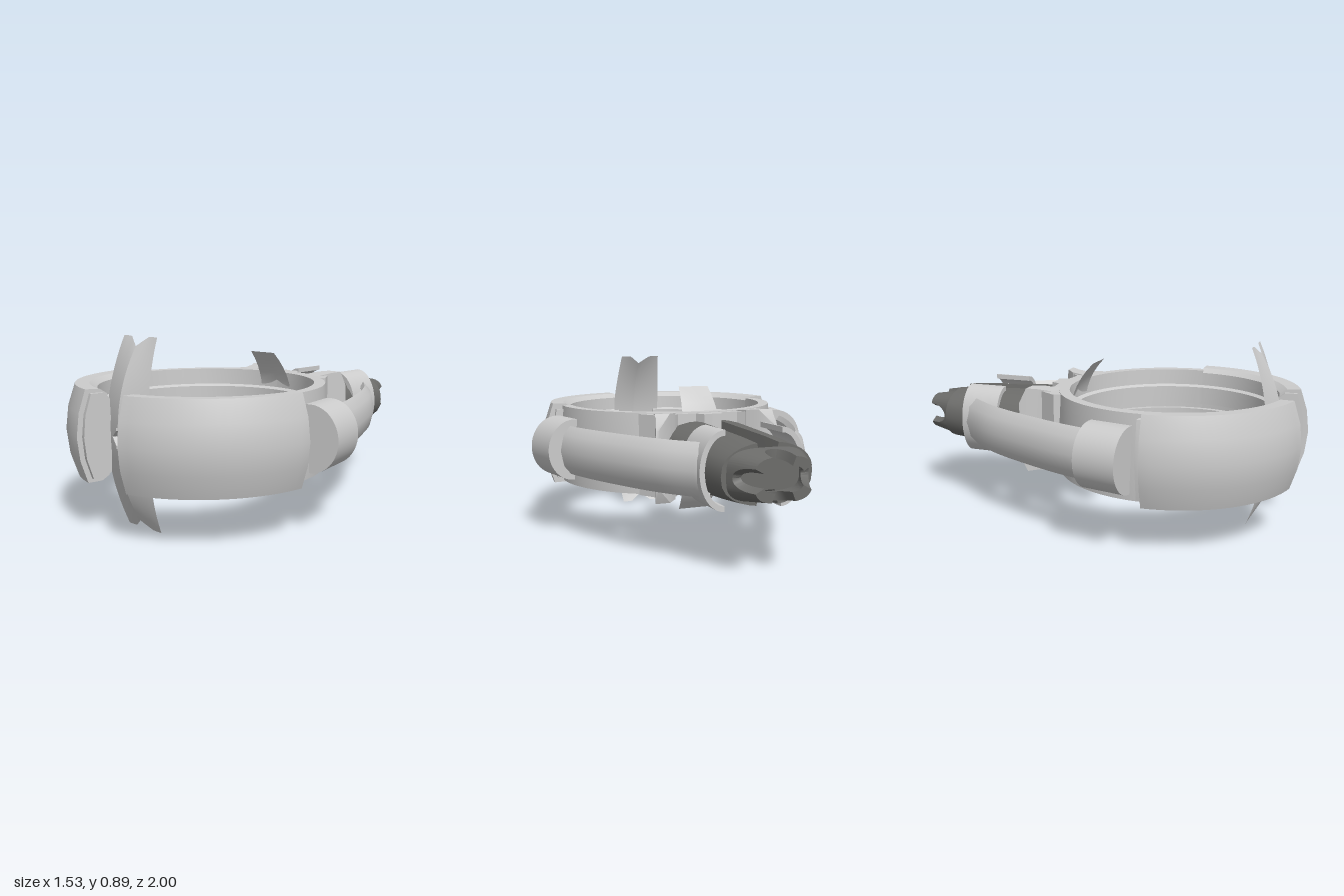
import * as THREE from 'three';
import { toCreasedNormals } from 'three/addons/utils/BufferGeometryUtils.js';

const MID = 0.445;   // mid height of the model
const RING_Z = 0.34; // centre of the ring

const lightMetal = new THREE.MeshStandardMaterial({ color: 0xcccccc, side: THREE.DoubleSide });
lightMetal.name = 'light grey metal';
const darkMetal = new THREE.MeshStandardMaterial({ color: 0x6c6c6a, side: THREE.DoubleSide });
darkMetal.name = 'dark grey grip';

function part(name, geometry, material = lightMetal, crease = 0.5) {
  const mesh = new THREE.Mesh(toCreasedNormals(geometry, crease), material);
  mesh.name = name;
  return mesh;
}

// Surface through a list of equally long point rows; optionally closed and capped
function loft(rows, closed = false, capped = false) {
  const n = rows[0].length, pos = rows.flat(2), idx = [];
  const cols = closed ? n : n - 1;
  for (let i = 0; i < rows.length - 1; i++) {
    for (let j = 0; j < cols; j++) {
      const a = i * n + j, b = i * n + (j + 1) % n, c = a + n, d = b + n;
      idx.push(a, b, d, a, d, c);
    }
  }
  if (capped) {
    [0, rows.length - 1].forEach((r) => {
      const outline = rows[r].map((p) => new THREE.Vector2(p[0], p[1]));
      THREE.ShapeUtils.triangulateShape(outline, []).forEach((t) => {
        const f = t.map((k) => k + r * n);
        idx.push(...(r ? f : f.reverse()));
      });
    });
  }
  const g = new THREE.BufferGeometry();
  g.setAttribute('position', new THREE.Float32BufferAttribute(pos, 3));
  g.setIndex(idx);
  return g;
}

// Closed (radius, height) profile swept round the ring between two angles, with end caps
function ringArc(name, half, from, to, segments) {
  const pts = [...half.map(([r, y]) => [r, -y]), ...half.slice().reverse()]
    .map(([r, y]) => new THREE.Vector2(r, y));
  const group = new THREE.Group();
  group.name = name;
  group.add(part(name + 'Body', new THREE.LatheGeometry([...pts, pts[0]], segments, from, to - from)));
  [from, to].forEach((angle) => {
    const cap = part(name + 'End', new THREE.ShapeGeometry(new THREE.Shape(pts)));
    cap.rotation.y = angle - Math.PI / 2;
    group.add(cap);
  });
  group.position.set(0, MID, RING_Z);
  return group;
}

// Bracket joining ring and grip: a flat outline in (x, z) given an upright thickness
function gripBracket() {
  const s = new THREE.Shape([[0, -0.3], [0.045, -0.31], [0.07, -0.26], [0.16, -0.25], [0.2, -0.3],
    [0.27, -0.28], [0.335, -0.175], [0.3, -0.12], [0.2, -0.16], [0.1, -0.19], [0, -0.19]]
    .map(([x, z]) => new THREE.Vector2(x, z)));
  const g = new THREE.ExtrudeGeometry(s, { depth: 0.4, bevelEnabled: false });
  return part('gripBracket', g.rotateX(Math.PI / 2).translate(0, MID + 0.2, 0));
}

// Pointed fin flaring out beside the grip: z, inner x, outer x, half height
function bracketFin() {
  const rows = [[-0.37, 0.305, 0.32, 0.14], [-0.335, 0.235, 0.31, 0.215], [-0.29, 0.19, 0.285, 0.21], [-0.2, 0.17, 0.27, 0.2]]
    .map(([z, a, b, h]) => [[b, h], [b, -h], [a, -h], [a, h]].reverse().map(([x, y]) => [x, MID + y, z]));
  return part('bracketFin', loft(rows, true, true));
}

// Crescent-section arm running from the grip collar to the side pod
function arm() {
  const path = new THREE.CatmullRomCurve3([[0.215, -0.71], [0.37, -0.5], [0.525, -0.18], [0.6, 0.02], [0.635, 0.15]]
    .map(([x, z]) => new THREE.Vector3(x, 0, z)));
  const section = [[-0.036, -0.1], [-0.018, -0.123], [0.018, -0.08], [0.036, 0],
    [0.018, 0.08], [-0.018, 0.123], [-0.036, 0.1], [-0.015, 0]];
  const rows = [];
  for (let i = 0; i <= 20; i++) {
    const p = path.getPointAt(i / 20), t = path.getTangentAt(i / 20);
    rows.push(section.map(([o, y]) => [p.x + t.z * o, MID + y, p.z - t.x * o]));
  }
  return part('sideArm', loft(rows, true));
}

// Half-round pod where the arm meets the ring
function pod() {
  const s = new THREE.Shape();
  s.moveTo(-0.02, -0.155);
  s.absellipse(0, 0, 0.14, 0.155, -Math.PI / 2, Math.PI / 2, false);
  s.lineTo(-0.02, 0.155);
  const g = new THREE.ExtrudeGeometry(s, { depth: 0.21, bevelEnabled: false, curveSegments: 20 });
  const mesh = part('sidePod', g);
  mesh.position.set(0.585, MID, 0.108);
  mesh.rotation.y = 0.2;
  return mesh;
}

// Curved collar clamping the side of the grip
function collar() {
  const s = new THREE.Shape();
  s.moveTo(0.14, -0.18);
  s.absellipse(0.14, 0, 0.12, 0.18, -Math.PI / 2, Math.PI / 2, false);
  s.absellipse(0.14, 0, 0.095, 0.155, Math.PI / 2, -Math.PI / 2, true);
  const g = new THREE.ExtrudeGeometry(s, { depth: 0.2, bevelEnabled: false, curveSegments: 16 });
  g.translate(0, MID, -0.735);
  return part('gripCollar', g);
}

// Grip body with a lengthwise channel along top and bottom
function grip() {
  const quarter = [[0.035, 0.5], [0.052, 0.97]];
  for (let i = 0; i <= 5; i++) {
    const a = (1.2 - i * 0.24);
    quarter.push([Math.cos(a), Math.sin(a) ** 0.8]);
  }
  const stations = [[-0.86, 0.22, 0.138], [-0.73, 0.237, 0.148], [-0.5, 0.262, 0.158], [-0.24, 0.29, 0.168]];
  const rows = stations.map(([z, w, h]) => {
    const q = quarter.map(([x, y], i) => [i < 2 ? x : x * w, y * h]);
    const right = [...q, ...q.slice(0, -1).reverse().map(([x, y]) => [x, -y])];
    const loop = [...right, ...right.slice().reverse().map(([x, y]) => [-x, y])];
    return loop.reverse().map(([x, y]) => [x, MID + y, z]);
  });
  return part('grip', loft(rows, true, true), darkMetal);
}

// Hollow end piece cut into four prongs by rounded notches
function prongs() {
  const surface = (thin) => {
    const rows = [];
    for (let i = 0; i <= 4; i++) {
      const row = [];
      for (let j = 0; j <= 192; j++) {
        const a = (j / 192) * Math.PI * 2, c = Math.cos(a), s = Math.sin(a);
        const x = Math.sign(c) * Math.abs(c) ** 0.6, y = Math.sign(s) * Math.abs(s) ** 0.6;
        const gap = Math.min(Math.abs(x) / 0.4, Math.abs(y) / 0.52, 1);
        const reach = 0.03 + 0.11 * (1 - Math.sqrt(1 - gap * gap));
        const d = (i / 4) * reach;
        row.push([x * (0.195 - 0.42 * d - thin), MID + y * (0.115 - 0.14 * d - thin), -0.86 - d]);
      }
      rows.push(row);
    }
    return rows;
  };
  const outer = surface(0), inner = surface(0.04);
  return part('prongedEnd', loft([...outer, ...inner.reverse()]), darkMetal);
}

// One half of the tall front blade, bent back from its centre line, with half the opening
function frontBladeHalf() {
  const rows = [];
  for (let i = 0; i <= 60; i++) {
    const t = i / 30 - 1, k = Math.abs(t), row = [];
    const inner = Math.max(0, 0.06 * (1 - (k * MID) / 0.041));
    const outer = 0.14 - 0.025 * Math.max(0, (k - 0.45) / 0.55);
    for (let j = 0; j <= 8; j++) {
      const x = inner + (outer - inner) * (j / 8);
      const y = t * (MID - 0.042 * Math.max(0, 1 - x / 0.06) * k ** 4);
      const v = Math.abs(y) / MID;
      row.push([x, MID + y, 0.885 - 0.142 * v ** 2.2 - 0.35 * x * (1 - k ** 3)]);
    }
    rows.push(row);
  }
  return part('frontBlade', loft(rows));
}

// Half of the raised diamond rim, following the bend of the blade
function diamondRimHalf() {
  const s = new THREE.Shape([[0, -0.048], [0.07, 0], [0, 0.048], [0, 0.034], [0.05, 0], [0, -0.034]]
    .map((p) => new THREE.Vector2(...p)));
  const g = new THREE.ExtrudeGeometry(s, { depth: 0.02, bevelEnabled: false });
  const mesh = part('diamondRim', g);
  mesh.position.set(0, MID, 0.87);
  mesh.rotation.y = 0.33;
  return mesh;
}

// Shorter blade inside the back of the ring
function rearBlade() {
  const rows = [];
  for (let i = 0; i <= 16; i++) {
    const t = i / 8 - 1, w = 0.105 - 0.025 * t * t, bend = 0.02 * (1 - t ** 4);
    rows.push([-w, 0, w].map((x) => [x, MID + t * 0.318, -0.185 + 0.12 * Math.abs(t) ** 2.6 - (x ? 0 : bend)]));
  }
  return part('rearBlade', loft(rows));
}

export function createModel() {
  const model = new THREE.Group();
  model.name = 'ringWithGrip';

  // Half profiles from mid height to the inner groove, mirrored in height
  const shell = [[0.675, 0], [0.662, 0.11], [0.628, 0.214], [0.56, 0.212], [0.525, 0.19], [0.522, 0.12], [0.5, 0.11],
    [0.5, 0.015], [0.532, 0.015]];
  const lip = [[0.65, 0], [0.64, 0.1], [0.61, 0.195], [0.55, 0.195], [0.52, 0.17], [0.515, 0]];
  const rearLip = [[0.645, 0], [0.615, 0.185], [0.56, 0.185], [0.55, 0]];
  const band = [[0.59, 0], [0.578, 0.203], [0.525, 0.203], [0.522, 0.12], [0.5, 0.11], [0.5, 0.015], [0.53, 0.015]];

  const half = new THREE.Group();
  half.name = 'side';
  half.add(
    ringArc('frontShell', shell, 0.22, 1.53, 18),
    ringArc('shellFrontLip', lip, 0.185, 0.23, 1),
    ringArc('shellRearLip', rearLip, 1.52, 1.57, 1),
    ringArc('rearBand', band, 1.52, Math.PI, 20),
    arm(), pod(), collar(), frontBladeHalf(), diamondRimHalf(), gripBracket(), bracketFin(),
  );
  const mirrored = half.clone();
  mirrored.scale.x = -1;

  model.add(half, mirrored, rearBlade(), grip(), prongs());
  return model;
}
